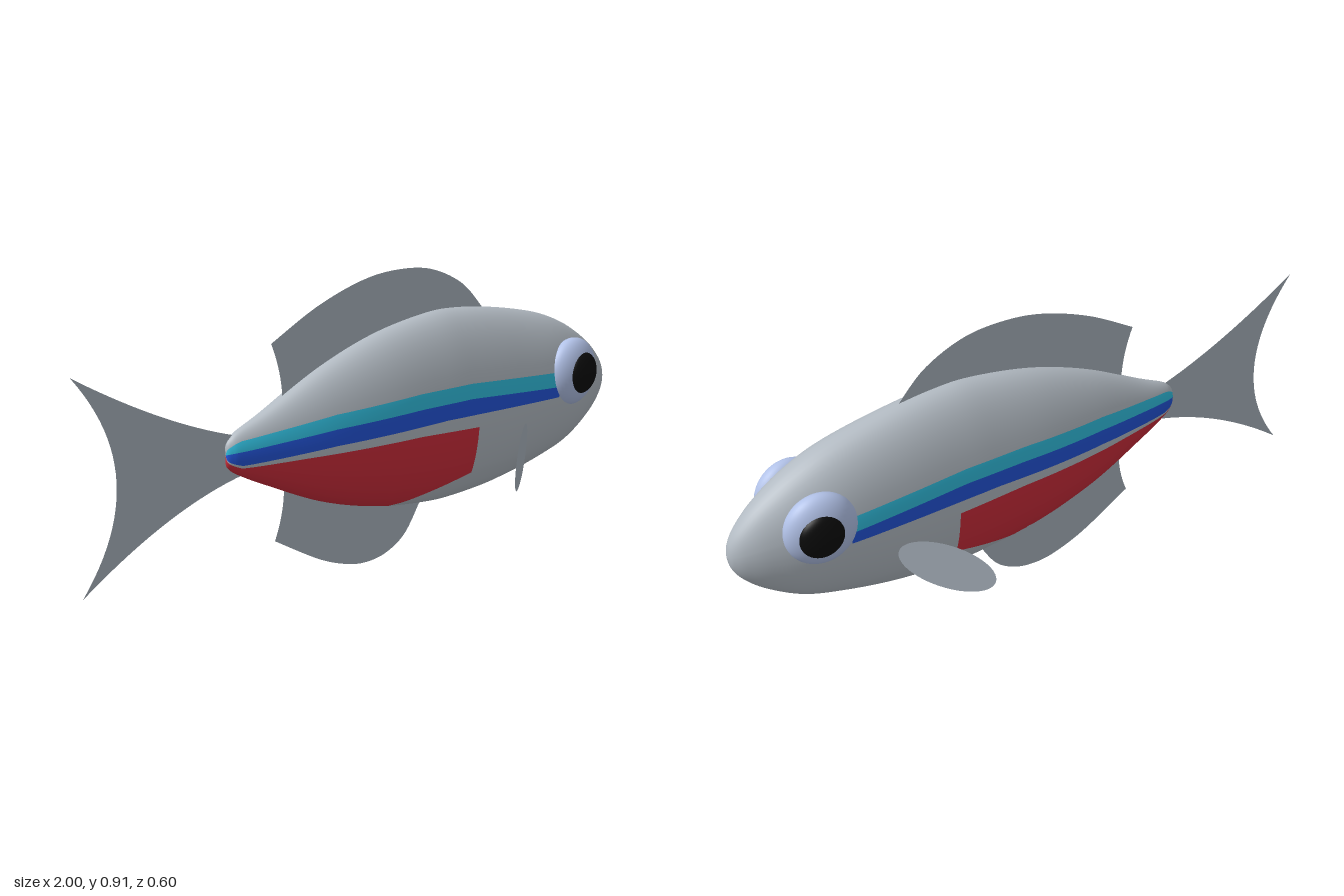
import * as THREE from 'three';

const mat = (name, color, side = THREE.FrontSide) => {
  const m = new THREE.MeshStandardMaterial({ color, side });
  m.name = name;
  return m;
};

// Body stations from tail to nose: [x, centre height, half height, half width]
const STATIONS = [
  [-0.53, 0.45, 0.0005, 0.0004], [-0.53, 0.45, 0.028, 0.012], [-0.518, 0.45, 0.046, 0.022],
  [-0.49, 0.45, 0.066, 0.033], [-0.4, 0.446, 0.11, 0.055], [-0.2, 0.448, 0.207, 0.095],
  [0, 0.4525, 0.272, 0.118], [0.2, 0.456, 0.304, 0.126], [0.33, 0.456, 0.306, 0.128],
  [0.5, 0.4525, 0.2875, 0.13], [0.68, 0.451, 0.248, 0.127], [0.8, 0.445, 0.205, 0.11],
  [0.9, 0.442, 0.143, 0.08], [0.96, 0.44, 0.088, 0.052], [0.99, 0.44, 0.043, 0.026],
  [1, 0.44, 0.0005, 0.0004],
];
const SUB = 8;                                   // steps between stations
const TAIL = 3 * SUB, RED_END = 8 * SUB, STRIPE_END = 10 * SUB;

// Heights of the colour borders along x, from the back down to the belly
const BORDERS = [
  [[-0.5, 0.49], [-0.2, 0.53], [0.1, 0.546], [0.3, 0.546], [0.68, 0.52]],
  [[-0.5, 0.46], [-0.2, 0.487], [0.1, 0.498], [0.3, 0.498], [0.68, 0.472]],
  [[-0.5, 0.418], [-0.35, 0.427], [-0.2, 0.437], [0.2, 0.447], [0.68, 0.438]],
  [[-0.5, 0.41], [-0.3, 0.413], [0.1, 0.413], [0.33, 0.402]],
  [[-0.5, 0], [0.049, 0], [0.05, 0.177], [0.33, 0.245]],
];
const ROWS = [10, 3, 3, 2, 8, 4];                // rows in each colour band

function heightAt(table, x) {
  for (let i = 1; i < table.length; i++) {
    const [x0, y0] = table[i - 1], [x1, y1] = table[i];
    if (x <= x1) return y0 + (y1 - y0) * Math.max(0, (x - x0) / (x1 - x0));
  }
  return table[table.length - 1][1];
}

function bodyGeometry() {
  const spine = new THREE.CatmullRomCurve3(
    STATIONS.map(([x, y, h]) => new THREE.Vector3(x, y, h)), false, 'catmullrom');
  const width = new THREE.CatmullRomCurve3(
    STATIONS.map(([x, , , w]) => new THREE.Vector3(x, w, 0)), false, 'catmullrom');
  const count = (STATIONS.length - 1) * SUB;
  const sections = spine.getPoints(count).map((p, j) => (
    { x: p.x, y: p.y, h: p.z, w: width.getPoint(j / count).y }));

  // Angles of the rows from back (+90 degrees) to belly (-90 degrees)
  const angles = sections.map(({ x, y, h }) => {
    const half = Math.PI / 2;
    const edges = BORDERS.map((b, i) => {
      const s = THREE.MathUtils.clamp((heightAt(b, x) - y) / h, -1, 1);
      return THREE.MathUtils.clamp(Math.asin(s), -half + 0.03 * (5 - i), half - 0.03 * (i + 1));
    });
    const all = [half, ...edges, -half], rows = [];
    ROWS.forEach((n, b) => {
      for (let k = 0; k < n; k++) rows.push(all[b] + (all[b + 1] - all[b]) * k / n);
    });
    return [...rows, -half];
  });
  const bandOfRow = ROWS.flatMap((n, b) => Array(n).fill(b));
  const N = bandOfRow.length, ring = 2 * N;

  const position = [];
  sections.forEach((s, j) => {
    const a = angles[THREE.MathUtils.clamp(j, TAIL, STRIPE_END)];
    for (let i = 0; i < ring; i++) {
      const t = a[i <= N ? i : ring - i], side = i <= N ? 1 : -1;
      position.push(s.x, s.y + s.h * Math.sin(t), side * s.w * Math.cos(t));
    }
  });

  // Sort the faces into colours: 0 body, 1 upper stripe, 2 lower stripe, 3 belly patch
  const faces = [[], [], [], []];
  for (let j = 0; j < count; j++) {
    for (let i = 0; i < ring; i++) {
      const band = bandOfRow[i < N ? i : ring - 1 - i];
      let colour = 0;
      if ((band === 1 || band === 2) && j < STRIPE_END) colour = band;
      if (band === 4 && j < RED_END) colour = 3;
      if (band === 5 && sections[j].x < 0.04) colour = 3;
      const a = j * ring + i, b = j * ring + (i + 1) % ring;
      faces[colour].push(a, b, b + ring, a, b + ring, a + ring);
    }
  }
  const geo = new THREE.BufferGeometry();
  geo.setAttribute('position', new THREE.Float32BufferAttribute(position, 3));
  geo.setIndex(faces.flat());
  let start = 0;
  faces.forEach((f, i) => { geo.addGroup(start, f.length, i); start += f.length; });
  geo.computeVertexNormals();
  return geo;
}

export function createModel() {
  const model = new THREE.Group();
  model.name = 'fish';
  const silver = mat('silver', 0xb2bac2);
  const cyan = mat('cyan', 0x30bcdc);
  const blue = mat('blue', 0x2253d6);
  const red = mat('red', 0xcc2c3a);
  const finGrey = mat('finGrey', 0xa8b2bc, THREE.DoubleSide);
  const eyeBlue = mat('eyeBlue', 0xb2c2e8);
  const black = mat('black', 0x0a0a0a);

  const add = (name, geo, material, parent = model) => {
    const mesh = new THREE.Mesh(geo, material);
    mesh.name = name;
    parent.add(mesh);
    return mesh;
  };

  add('body', bodyGeometry(), [silver, cyan, blue, red]);

  // Tail fin
  const tail = new THREE.Shape();
  tail.moveTo(-0.45, 0.49);
  tail.quadraticCurveTo(-0.7, 0.56, -1, 0.755);
  tail.quadraticCurveTo(-0.76, 0.445, -1, 0.135);
  tail.quadraticCurveTo(-0.71, 0.34, -0.45, 0.385);
  add('tailFin', new THREE.ShapeGeometry(tail, 24), finGrey);

  // Fins on the back and under the belly
  const fin = (name, root, corner, edge, inner) => {
    const s = new THREE.Shape();
    s.moveTo(...root);
    s.quadraticCurveTo(root[0] + 0.002, (root[1] + corner[1]) / 2, ...corner);
    s.splineThru(edge.map(([x, y]) => new THREE.Vector2(x, y)));
    s.lineTo(...inner);
    add(name, new THREE.ShapeGeometry(s, 32), finGrey);
  };
  fin('backFin', [-0.33, 0.56], [-0.366, 0.75],
    [[-0.206, 0.834], [-0.045, 0.89], [0.09, 0.908], [0.23, 0.895], [0.36, 0.835], [0.45, 0.745]], [0.2, 0.6]);
  fin('bellyFin', [-0.33, 0.33], [-0.366, 0.152],
    [[-0.206, 0.056], [-0.1, 0.013], [-0.02, 0.0], [0.06, 0.013], [0.135, 0.06], [0.2, 0.16]], [0.05, 0.25]);

  // Paired eyes and side fins
  const ball = new THREE.SphereGeometry(1, 40, 28);
  const disc = new THREE.CircleGeometry(1, 48);
  for (const [side, label] of [[1, 'left'], [-1, 'right']]) {
    const eye = new THREE.Group();
    eye.name = label + 'Eye';
    eye.position.set(0.76, 0.507, side * 0.1);
    eye.rotation.y = side * 0.1;
    model.add(eye);
    add(label + 'Eyeball', ball, eyeBlue, eye).scale.set(0.108, 0.112, 0.055);
    const pupil = add(label + 'Pupil', ball, black, eye);
    pupil.position.set(0.009, 0, side * 0.036);
    pupil.scale.set(0.067, 0.069, 0.033);

    const sideFin = add(label + 'SideFin', disc, finGrey);
    sideFin.position.set(0.43, 0.306, side * 0.213);
    sideFin.rotation.set(0, side * 0.67, 0.335);
    sideFin.scale.set(0.146, 0.076, 1);
  }
  return model;
}
